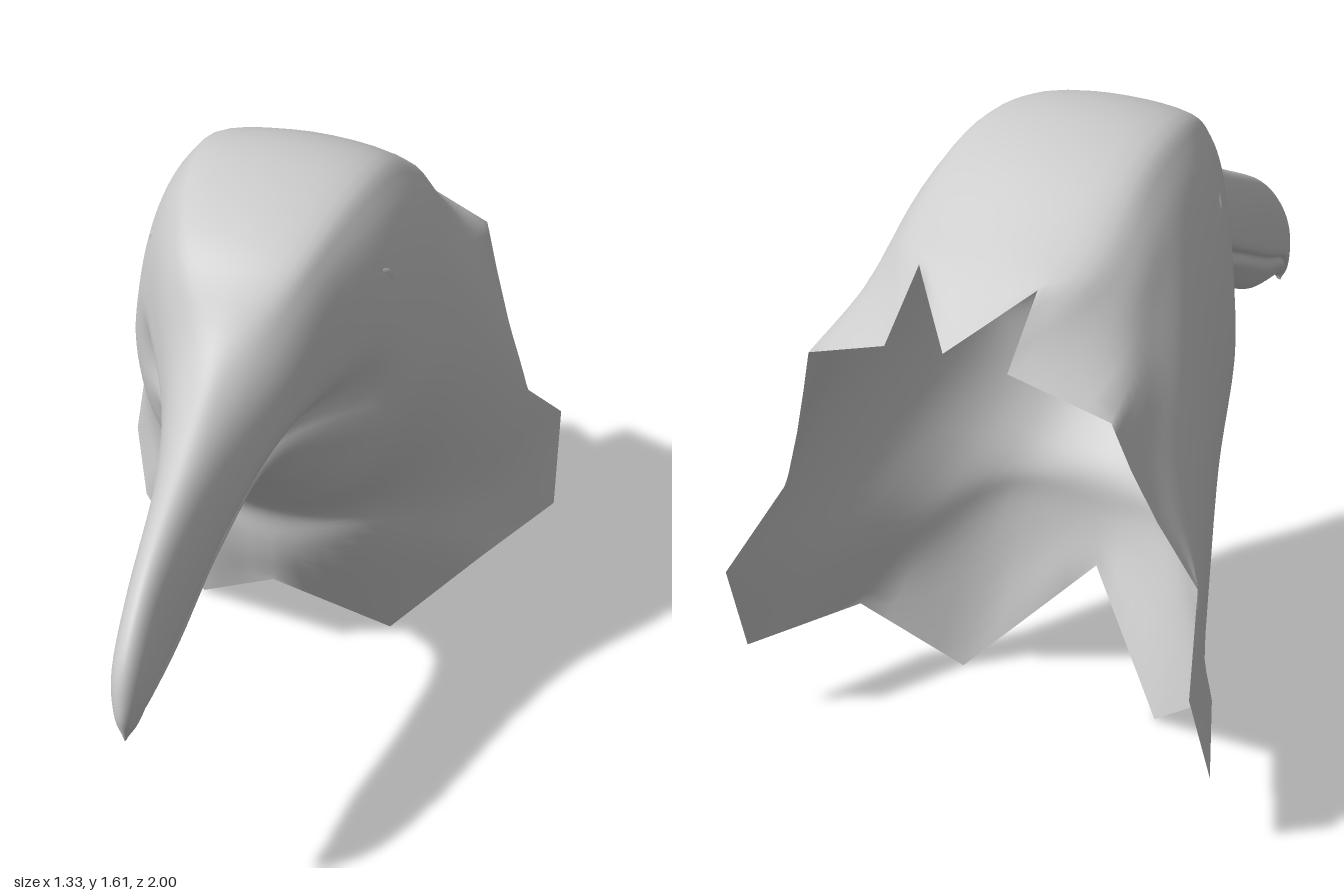
import * as THREE from 'three';

const V = (x, y, z) => new THREE.Vector3(x, y, z);
const { sin, cos, PI } = Math;
const LAST = 11; // rails run from 0 at the crown to 11 at the throat, rail 5 is the mouth edge

// Beak stations, tip to base: ridge z, y, mouth edge y, chin z, y, half width
const beakStations = [
  [0.98, 0.63, 0.635, 0.965, 0.65, 0.004],
  [1.0, 0.73, 0.68, 0.92, 0.68, 0.03],
  [0.96, 0.87, 0.75, 0.86, 0.68, 0.052],
  [0.8, 1.02, 0.82, 0.71, 0.71, 0.07],
  [0.5, 1.17, 0.95, 0.47, 0.82, 0.1],
  [0.26, 1.31, 1.07, 0.2, 0.875, 0.16],
];

// Head stations, face to nape:
// crown z, y, throat z, y, half width, backward sag of the sides, mouth corner pinch
const headStations = [
  [0.08, 1.5, 0.05, 0.785, 0.28, 0.1, 0.86],
  [-0.18, 1.6, -0.095, 0.64, 0.38, 0.06, 1],
  [-0.45, 1.58, -0.185, 0.53, 0.46, 0.18, 1],
  [-0.73, 1.42, -0.2, 0.41, 0.55, 0.4, 1],
];

// Jagged rim, one corner per rail
const rim = [
  [0, 1.24, -0.98], [0.16, 1.365, -0.81], [0.165, 1.22, -0.97], [0.41, 1.13, -0.925],
  [0.45, 1, -0.9], [0.5, 0.86, -0.865], [0.58, 0.67, -0.81], [0.65, 0.49, -1],
  [0.665, 0.22, -0.91], [0.52, 0.21, -0.59], [0.29, 0, -0.45], [0, 0.27, -0.22],
];

// Beak section: rounded upper bill, a crease under the mouth edge, rounded lower bill
function beakPoint([zt, yt, ym, zb, yb, w], i) {
  const zm = (zt + zb) / 2;
  if (i <= 5) {
    const a = (i / 5) * PI / 2, s = 1 - cos(a);
    return V(w * sin(a), yt + (ym - yt) * s, zt + (zm - zt) * s);
  }
  const a = ((i - 5) / 6) * PI / 2, s = sin(a) ** 1.4;
  const x = i === LAST ? 0 : w * cos(a) * (i === 6 ? 0.75 : 1);
  return V(x, ym + (yb - ym) * s, zm + (zb - zm) * s);
}

// Head section: broad crown, rounder throat, its sides swept back and down toward the shoulders
function headPoint([zt, yt, zb, yb, w, sag, pinch], i) {
  const a = (i / LAST) * PI, f = (1 - cos(a)) / 2;
  const back = sag * sin(PI * (i / LAST) ** 1.6) ** 2;
  const round = sin(a) ** (i <= 5 ? 0.45 : 0.85) * (1 - (0.08 + 0.6 * sag) * cos(a));
  const x = i % LAST ? w * round * (i === 6 ? pinch : 1) : 0;
  return V(x, yt + (yb - yt) * f - 0.4 * back, zt + (zb - zt) * f - back);
}

const rails = rim.map((corner, i) => new THREE.CatmullRomCurve3([
  ...beakStations.map(s => beakPoint(s, i)),
  ...headStations.map(s => headPoint(s, i)),
  V(...corner),
], false, 'catmullrom', 0.5));

// Loft rings across all rails; the rings straighten at the rim to keep its teeth sharp
function shellParts() {
  const step = 6, perRail = 4;
  const rows = (beakStations.length + headStations.length) * step;
  const cols = LAST * 2 * perRail;
  const pos = [];
  for (let i = 0; i <= rows; i++) {
    const u = i / rows;
    const half = rails.map(c => c.getPoint(u));
    const ring = [...half, ...half.slice(1, -1).reverse().map(p => V(-p.x, p.y, p.z))];
    const smooth = new THREE.CatmullRomCurve3(ring, true, 'catmullrom', 0.5);
    const straight = THREE.MathUtils.smoothstep(u, 0.92, 1);
    for (let j = 0; j < cols; j++) {
      const k = Math.floor(j / perRail);
      const line = ring[k].clone().lerp(ring[(k + 1) % ring.length], (j % perRail) / perRail);
      pos.push(...smooth.getPoint(j / cols).lerp(line, straight).toArray());
    }
  }
  const faces = (from, to) => {
    const index = [];
    for (let i = from; i < to; i++) for (let j = 0; j < cols; j++) {
      const a = i * cols + j, b = i * cols + (j + 1) % cols, c = a + cols, d = b + cols;
      index.push(a, b, c, b, d, c);
    }
    return index;
  };
  const whole = new THREE.BufferGeometry();
  whole.setAttribute('position', new THREE.Float32BufferAttribute(pos, 3));
  whole.setIndex(faces(0, rows));
  whole.computeVertexNormals();
  // Both parts share vertices and normals, so the join stays smooth
  const part = (from, to) => new THREE.BufferGeometry()
    .setAttribute('position', whole.attributes.position)
    .setAttribute('normal', whole.attributes.normal)
    .setIndex(faces(from, to));
  const split = (beakStations.length - 1) * step;
  return { beak: part(0, split), headAndNeck: part(split, rows) };
}

export function createModel() {
  const model = new THREE.Group();
  model.name = 'birdHead';
  const mat = new THREE.MeshStandardMaterial({ color: 0xcccccc, side: THREE.DoubleSide });
  const add = (name, geo, parent) => {
    const mesh = new THREE.Mesh(geo, mat);
    mesh.name = name;
    parent.add(mesh);
    return mesh;
  };

  for (const [name, geo] of Object.entries(shellParts())) add(name, geo, model);

  // Eyes: flattened ball under a slim lid that rises toward the back
  for (const side of [1, -1]) {
    const eye = new THREE.Group();
    eye.name = side > 0 ? 'leftEye' : 'rightEye';
    eye.position.set(side * 0.287, 1.335, -0.12);
    eye.rotation.set(0, side * 0.95, side * 0.4, 'YXZ');
    add('eyeball', new THREE.SphereGeometry(0.045, 20, 14), eye).scale.set(1, 0.85, 0.5);
    add('eyelid', new THREE.TorusGeometry(0.052, 0.014, 8, 24), eye).scale.set(1.2, 0.85, 0.9);
    model.add(eye);
  }
  return model;
}
